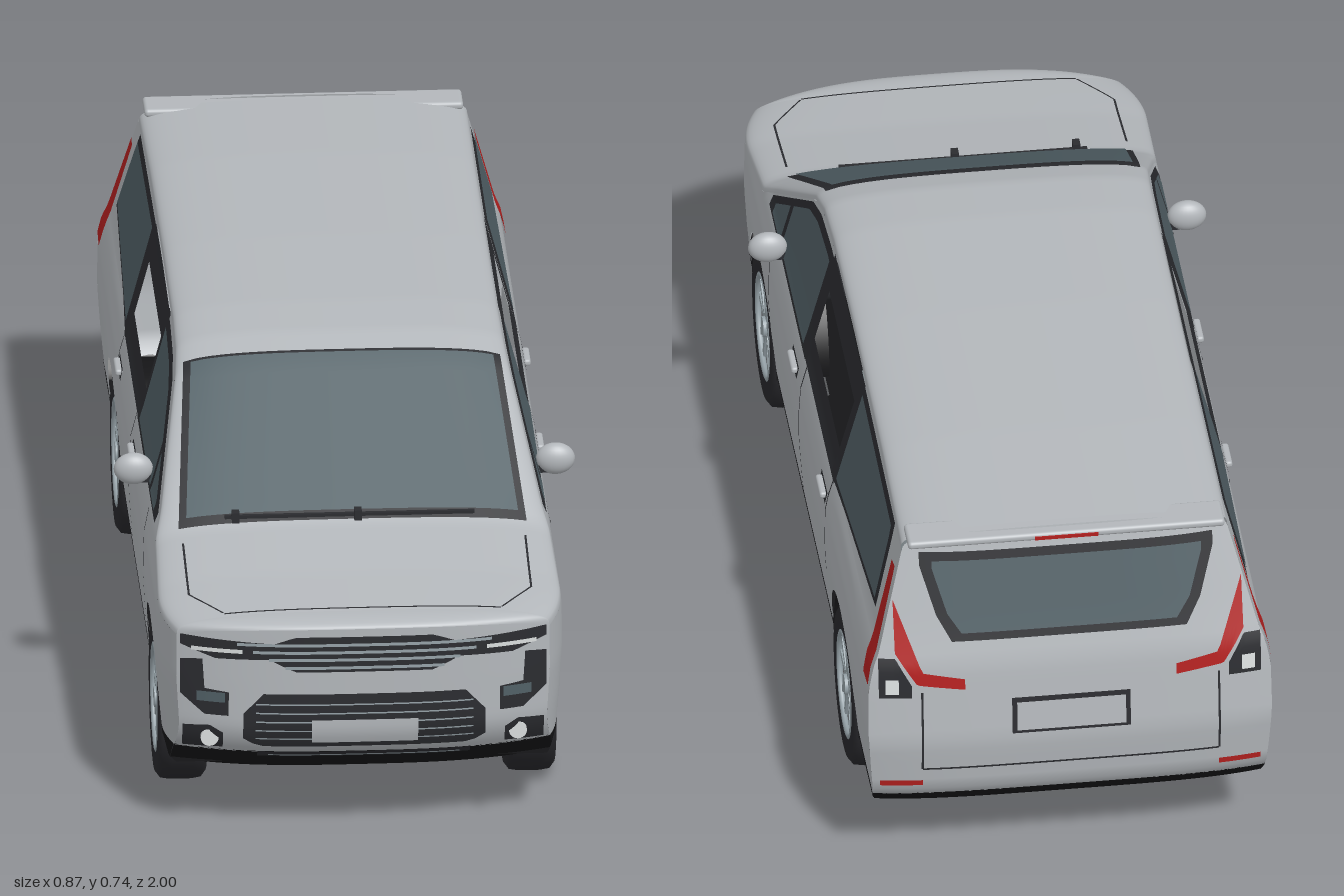
import * as THREE from 'three';
import { RoundedBoxGeometry } from 'three/addons/geometries/RoundedBoxGeometry.js';

const mat = (name, color) => new THREE.MeshStandardMaterial({ name, color, side: THREE.DoubleSide });

// piecewise linear curve through [key, value] pairs with ascending keys
const tab = pts => k => {
  if (k <= pts[0][0]) return pts[0][1];
  for (let i = 1; i < pts.length; i++) if (k <= pts[i][0]) {
    const [a, p] = pts[i - 1], [b, q] = pts[i];
    return p + (q - p) * (k - a) / (b - a);
  }
  return pts[pts.length - 1][1];
};
const val = (f, k) => typeof f === 'function' ? f(k) : f;
const lerp = THREE.MathUtils.lerp, clamp = THREE.MathUtils.clamp;

// body surface rules
const roofLine = tab([[-0.9, 0.728], [-0.6, 0.738], [-0.2, 0.741], [0.1, 0.737], [0.22, 0.727], [0.295, 0.705],
  [0.62, 0.502], [0.785, 0.472], [0.93, 0.455], [1, 0.43]]);
const shoulder = z => roofLine(z) - 0.04;
const widthAt = tab([[0.11, 0.355], [0.17, 0.37], [0.25, 0.377], [0.33, 0.382], [0.42, 0.381], [0.47, 0.371],
  [0.5, 0.359], [0.7, 0.306], [0.75, 0.298]]);
const sideX = (y, z) => widthAt(y) * (z > 0.8 ? 1 - 0.08 * ((z - 0.8) / 0.13) ** 2 : 1);
const frontEdge = y => 0.93 - (y < 0.25 ? 6 * (0.25 - y) ** 2 : 0);
const rearEdge = tab([[0.11, -0.86], [0.15, -0.93], [0.2, -0.968], [0.31, -0.98], [0.47, -0.96], [0.55, -0.935], [0.72, -0.885]]);
const floorY = tab([[-0.92, 0.15], [-0.72, 0.112], [0.75, 0.112], [0.9, 0.14]]);
const topW = z => sideX(shoulder(z), z);
const topY = (x, z) => shoulder(z) + 0.04 * Math.cbrt(Math.max(0, 1 - Math.abs(x / topW(z)) ** 3));
const frontZ = (x, y) => {
  const e = frontEdge(y);
  return e + 0.055 * (1 - Math.min(1, Math.abs(x / sideX(y, e))) ** 3);
};
const rearZ = (x, y) => rearEdge(y) - 0.018 * (1 - Math.min(1, Math.abs(x / widthAt(y))) ** 4);
const AXLES = [0.615, -0.56], ARCH = 0.178, HUB = 0.155;
const archY = z => {
  let y = 0.178;
  for (const a of AXLES) if (Math.abs(z - a) < ARCH) y = Math.max(y, HUB + Math.sqrt(ARCH ** 2 - (z - a) ** 2));
  return y;
};

export function createModel() {
  const car = new THREE.Group();
  car.name = 'minivan';
  const paint = mat('silver paint', 0xb3b7bb), glass = mat('tinted glass', 0x516066), trim = mat('dark trim', 0x2b2c30),
    under = mat('black underbody', 0x151517), rubber = mat('tyre rubber', 0x28282c), alloy = mat('alloy', 0x96a2a8),
    red = mat('red lamp', 0xb3201f), lens = mat('clear lens', 0xd9dddd), seatCloth = mat('seat fabric', 0x8d979b);

  const add = (name, geo, m, x = 0, y = 0, z = 0, parent = car) => {
    const mesh = new THREE.Mesh(geo, m);
    mesh.name = name;
    mesh.position.set(x, y, z);
    parent.add(mesh);
    return mesh;
  };
  // grid surface from a rule (u, v) -> [x, y, z]
  const surf = (name, m, nu, nv, fn) => {
    const pos = [], idx = [];
    for (let j = 0; j <= nv; j++) for (let i = 0; i <= nu; i++) pos.push(...fn(i / nu, j / nv));
    for (let j = 0; j < nv; j++) for (let i = 0; i < nu; i++) {
      const a = j * (nu + 1) + i, b = a + 1, c = a + nu + 1, d = c + 1;
      idx.push(a, b, d, a, d, c);
    }
    const g = new THREE.BufferGeometry();
    g.setAttribute('position', new THREE.Float32BufferAttribute(pos, 3));
    g.setIndex(idx);
    g.computeVertexNormals();
    return add(name, g, m);
  };
  // patches lying on the flanks (both sides), nose, tail and top
  const side = (name, m, z1, z0, lo, hi, off = 0, nu = 20, nv = 6) => [1, -1].forEach(s =>
    surf(name, m, nu, nv, (u, v) => {
      const zc = lerp(z1, z0, s > 0 ? u : 1 - u), y = lerp(val(lo, zc), val(hi, zc), v);
      const z = clamp(zc, rearEdge(y), frontEdge(y));
      return [s * (sideX(y, z) + off), y, z];
    }));
  const nose = (name, m, x0, x1, lo, hi, off = 0.004) => surf(name, m, 24, 4, (u, v) => {
    const x = lerp(x0, x1, u), y = lerp(val(lo, Math.abs(x)), val(hi, Math.abs(x)), v);
    return [x, y, frontZ(x, y) + off];
  });
  const tail = (name, m, x0, x1, lo, hi, off = 0.004) => surf(name, m, 20, 6, (u, v) => {
    const x = lerp(x1, x0, u), y = lerp(val(lo, Math.abs(x)), val(hi, Math.abs(x)), v);
    return [x, y, rearZ(x, y) - off];
  });
  const pair = (fn, name, m, x0, x1, ...rest) => { fn(name, m, x0, x1, ...rest); fn(name, m, -x1, -x0, ...rest); };
  const top = (name, m, z1, z0, xa, xb, off) => surf(name, m, 24, 16, (u, v) => {
    const z = lerp(z1, z0, v), x = lerp(val(xa, z), val(xb, z), u);
    return [x, topY(x, z) + off, z];
  });
  const ease = u => { const s = 2 * u - 1; return Math.sign(s) * (1 - (1 - Math.abs(s)) ** 2); };

  // painted shell
  side('lowerBodySide', paint, 0.93, -0.99, archY, z => Math.min(0.49, shoulder(z)), 0, 240, 14);
  side('frontPillarPanel', paint, 0.7, 0.04, z => Math.min(0.49, shoulder(z)), shoulder, 0, 40, 8);
  side('rearQuarterPanel', paint, -0.345, -0.97, 0.49, shoulder, 0, 60, 14);
  surf('roofAndBonnet', paint, 40, 120, (u, v) => {
    const z = lerp(0.93, -0.885, v), x = ease(u) * topW(z);
    return [x, topY(x, z), z];
  });
  const noseTop = s => topY(s * topW(0.93), 0.93) - 0.015;
  const nosePoint = (s, y) => {
    const x = s * sideX(y, frontEdge(y));
    return [x, y, frontZ(x, y)];
  };
  surf('frontBumper', paint, 40, 20, (u, v) => nosePoint(ease(u), lerp(0.178, noseTop(ease(u)), v)));
  surf('bonnetLip', paint, 40, 8, (u, v) => {
    const s = ease(u), a = nosePoint(s, noseTop(s)), x = s * topW(0.93), t = v * Math.PI / 2;
    return [lerp(a[0], x, v), lerp(a[1], topY(x, 0.93), Math.sin(t)), 0.93 + (a[2] - 0.93) * Math.cos(t)];
  });
  const tailPoint = (s, y) => [-s * widthAt(y), y, rearZ(s * widthAt(y), y)];
  surf('tailgate', paint, 40, 24, (u, v) => tailPoint(ease(u), lerp(0.178, topY(ease(u) * topW(-0.885), -0.885), v)));
  add('roofSpoiler', new RoundedBoxGeometry(0.6, 0.016, 0.07, 3, 0.007), paint, 0, 0.717, -0.89);

  // black lower skirts and floor
  [[0.93, 0.785], [0.44, -0.385], [-0.735, -0.98]].forEach(([a, b]) => side('sill', under, a, b, floorY, 0.18, 0.001, 30, 4));
  surf('frontSkirt', under, 30, 6, (u, v) => nosePoint(2 * u - 1, lerp(0.125, 0.18, v)));
  surf('rearSkirt', under, 30, 6, (u, v) => tailPoint(2 * u - 1, lerp(0.13, 0.18, v)));
  surf('floor', under, 10, 120, (u, v) => {
    const z = lerp(0.89, -0.92, v), y = floorY(z);
    const w = AXLES.some(a => Math.abs(z - a) < ARCH) ? 0.27 : sideX(y, z);
    return [(2 * u - 1) * -w, y, z];
  });

  // wheels with arch liners
  const tyreGeo = new THREE.LatheGeometry([[0.1, -0.045], [0.14, -0.047], [0.152, -0.038], [0.155, -0.02], [0.155, 0.02],
    [0.152, 0.038], [0.14, 0.047], [0.1, 0.045]].map(p => new THREE.Vector2(...p)), 48).rotateZ(-Math.PI / 2);
  const disc = (r, w, n = 36) => new THREE.CylinderGeometry(r, r, w, n).rotateZ(Math.PI / 2);
  for (const z of AXLES) for (const s of [1, -1]) {
    const wheel = new THREE.Group();
    wheel.name = 'wheel';
    wheel.position.set(s * 0.328, HUB, z);
    wheel.scale.x = s;
    car.add(wheel);
    add('tyre', tyreGeo, rubber, 0, 0, 0, wheel);
    add('rimBack', disc(0.101, 0.05), trim, 0, 0, 0, wheel);
    add('rimRing', new THREE.TorusGeometry(0.1, 0.006, 8, 40).rotateY(Math.PI / 2), alloy, 0.041, 0, 0, wheel);
    add('hub', disc(0.02, 0.02, 20), alloy, 0.036, 0, 0, wheel);
    for (let i = 0; i < 10; i++) {
      const a = Math.floor(i / 2) * Math.PI * 0.4 + (i % 2 ? 0.24 : -0.24);
      add('spoke', new THREE.BoxGeometry(0.012, 0.084, 0.013).translate(0, 0.057, 0), alloy, 0.034, 0, 0, wheel).rotation.x = a;
    }
    add('archLiner', new THREE.CylinderGeometry(ARCH, ARCH, 0.1, 32, 1, true, 0, Math.PI).rotateZ(Math.PI / 2), under, s * 0.32, HUB, z);
    add('archWall', new THREE.CircleGeometry(ARCH, 32, 0, Math.PI).rotateY(Math.PI / 2), under, s * 0.27, HUB, z);
  }

  // side windows; the sliding door window stands open
  side('frontWindowFrame', trim, 0.55, 0.04, 0.482, z => Math.max(0.483, shoulder(z) - 0.004), 0.003, 30);
  side('frontWindow', glass, 0.395, 0.075, 0.493, z => shoulder(z) - 0.02, 0.006, 24);
  side('quarterWindow', glass, 0.51, 0.415, 0.491, z => shoulder(z) - 0.02, 0.006);
  side('doorFrameTop', trim, 0.045, -0.36, 0.64, shoulder, 0.002);
  side('doorFrameBottom', trim, 0.045, -0.36, 0.482, 0.535, 0.002);
  side('doorPillar', trim, 0.065, 0.03, 0.482, 0.7, 0.002);
  side('doorPillar', trim, -0.33, -0.37, 0.482, 0.7, 0.002);
  side('rearWindowFrame', trim, -0.36, -0.852, tab([[-0.852, 0.535], [-0.36, 0.486]]),
    tab([[-0.852, 0.54], [-0.815, 0.695], [-0.36, 0.7]]), 0.003, 50);
  side('rearSideWindow', glass, -0.38, -0.838, tab([[-0.838, 0.547], [-0.38, 0.5]]),
    tab([[-0.838, 0.55], [-0.805, 0.683], [-0.38, 0.688]]), 0.006, 50);

  // windscreen, wipers and bonnet shut lines
  const screenW = tab([[0.285, 0.298], [0.62, 0.328]]);
  top('windscreenFrame', trim, 0.615, 0.28, z => -screenW(z), screenW, 0.003);
  top('windscreen', glass, 0.6, 0.292, z => 0.014 - screenW(z), z => screenW(z) - 0.014, 0.007);
  for (const x of [-0.22, 0.01]) {
    add('wiperPivot', new THREE.BoxGeometry(0.014, 0.02, 0.02), trim, x, 0.517, 0.612);
    add('wiperBlade', new THREE.BoxGeometry(0.24, 0.006, 0.008), trim, x + 0.1, 0.514, 0.606);
  }
  top('bonnetFrontSeam', trim, 0.925, 0.921, -0.26, 0.26, 0.002);
  for (const s of [1, -1]) top('bonnetSideSeam', trim, 0.92, 0.66, z => s * tab([[0.84, 0.322], [0.92, 0.262]])(z) - 0.002,
    z => s * tab([[0.84, 0.322], [0.92, 0.262]])(z) + 0.002, 0.002);

  // door seams and handles
  side('frontDoorSeam', trim, 0.452, 0.447, 0.2, 0.47, 0.002, 1);
  side('middleDoorSeam', trim, 0.018, 0.013, 0.18, 0.485, 0.002, 1);
  side('rearDoorSeam', trim, -0.357, -0.362, 0.28, 0.485, 0.002, 1);
  for (const z of [0.1, -0.31]) {
    side('handleRecess', trim, z + 0.04, z - 0.04, 0.423, 0.447, 0.002);
    for (const s of [1, -1]) add('doorHandle', new RoundedBoxGeometry(0.014, 0.013, 0.066, 2, 0.005), paint, s * 0.384, 0.436, z);
  }

  // mirrors
  for (const s of [1, -1]) {
    add('mirror', new THREE.SphereGeometry(1, 24, 16), paint, s * 0.397, 0.515, 0.365).scale.set(0.037, 0.031, 0.022);
    add('mirrorStem', new THREE.BoxGeometry(0.05, 0.014, 0.02), trim, s * 0.362, 0.497, 0.365);
  }

  // front grilles, lamps and plate
  nose('upperGrille', trim, -0.17, 0.17, tab([[0.13, 0.355], [0.17, 0.375]]), tab([[0.13, 0.426], [0.17, 0.412]]));
  pair(nose, 'headlamp', trim, 0.17, 0.345, tab([[0.17, 0.38], [0.28, 0.378], [0.345, 0.4]]), tab([[0.17, 0.412], [0.34, 0.42]]));
  [0.365, 0.381, 0.396, 0.411].forEach((y, i) => nose('upperSlat', alloy, -0.15 - 0.03 * i, 0.15 + 0.03 * i, y - 0.003, y + 0.003, 0.008));
  pair(nose, 'headlampStrip', lens, 0.23, 0.325, 0.392, 0.4, 0.008);
  pair(nose, 'sideLampHousing', trim, 0.255, 0.345, tab([[0.255, 0.262], [0.3, 0.262], [0.345, 0.3]]),
    tab([[0.255, 0.31], [0.3, 0.315], [0.302, 0.375], [0.345, 0.37]]));
  pair(nose, 'sideLamp', glass, 0.262, 0.315, 0.29, 0.31, 0.008);
  nose('lowerGrille', trim, -0.228, 0.228, tab([[0.2, 0.197], [0.228, 0.215]]), tab([[0.19, 0.31], [0.228, 0.268]]));
  for (let i = 0; i < 5; i++) nose('lowerSlat', alloy, -0.205, 0.205, 0.216 + i * 0.018, 0.219 + i * 0.018, 0.007);
  nose('frontPlate', paint, -0.1, 0.1, 0.211, 0.26, 0.011);
  nose('bumperStrip', trim, -0.2, 0.2, 0.168, 0.182);
  nose('bumperStripLine', alloy, -0.18, 0.18, 0.172, 0.175, 0.007);
  pair(nose, 'fogLampHousing', trim, 0.265, 0.34, tab([[0.265, 0.19], [0.34, 0.185]]), tab([[0.265, 0.225], [0.29, 0.24], [0.34, 0.235]]));
  for (const s of [1, -1])
    add('fogLamp', new THREE.CylinderGeometry(0.017, 0.017, 0.012, 20).rotateX(Math.PI / 2), lens, s * 0.29, 0.213, frontZ(0.29, 0.213) + 0.003);

  // rear window, lamps and plate
  tail('tailgateWindowFrame', trim, -0.278, 0.278, tab([[0.235, 0.52], [0.278, 0.665]]), 0.69);
  tail('tailgateWindow', glass, -0.255, 0.255, tab([[0.218, 0.537], [0.255, 0.66]]), 0.675, 0.008);
  tail('rearPlateFrame', trim, -0.112, 0.112, 0.325, 0.4);
  tail('rearPlate', paint, -0.103, 0.103, 0.333, 0.392, 0.008);
  tail('tailgateSeam', trim, -0.28, 0.28, 0.248, 0.252, 0.002);
  pair(tail, 'tailgateSideSeam', trim, 0.279, 0.283, 0.25, 0.42, 0.002);
  pair(tail, 'tailLampStrip', red, 0.2, 0.33, tab([[0.2, 0.424], [0.29, 0.437], [0.33, 0.5]]), tab([[0.2, 0.446], [0.28, 0.462], [0.33, 0.6]]));
  pair(tail, 'tailLampHousing', trim, 0.3, 0.362, 0.41, tab([[0.3, 0.435], [0.33, 0.49], [0.362, 0.49]]), 0.003);
  pair(tail, 'reverseLamp', lens, 0.325, 0.35, 0.42, 0.45, 0.007);
  pair(tail, 'reflector', red, 0.28, 0.36, 0.212, 0.224);
  side('tailLamp', red, -0.865, -0.962, tab([[-0.962, 0.435], [-0.905, 0.43], [-0.865, 0.645]]),
    tab([[-0.962, 0.437], [-0.895, 0.655], [-0.865, 0.65]]), 0.004, 30);
  add('highBrakeLamp', new THREE.BoxGeometry(0.12, 0.007, 0.01), red, 0, 0.716, -0.922);

  // cabin: headliner, dashboard and seats
  top('headliner', trim, 0.2, -0.85, -0.27, 0.27, -0.012);
  add('dashboard', new RoundedBoxGeometry(0.64, 0.12, 0.16, 3, 0.03), trim, 0, 0.41, 0.47);
  for (const z of [0.12, -0.22, -0.6]) for (const x of [-0.15, 0.15]) {
    add('seatBase', new RoundedBoxGeometry(0.2, 0.1, 0.2, 3, 0.03), seatCloth, x, 0.29, z);
    add('seatBack', new RoundedBoxGeometry(0.2, 0.26, 0.06, 3, 0.025), seatCloth, x, 0.4, z - 0.1).rotation.x = -0.15;
  }
  for (const x of [-0.15, 0.15]) add('headrest', new RoundedBoxGeometry(0.1, 0.08, 0.025, 3, 0.01), seatCloth, x, 0.575, -0.025).rotation.x = -0.15;
  return car;
}
